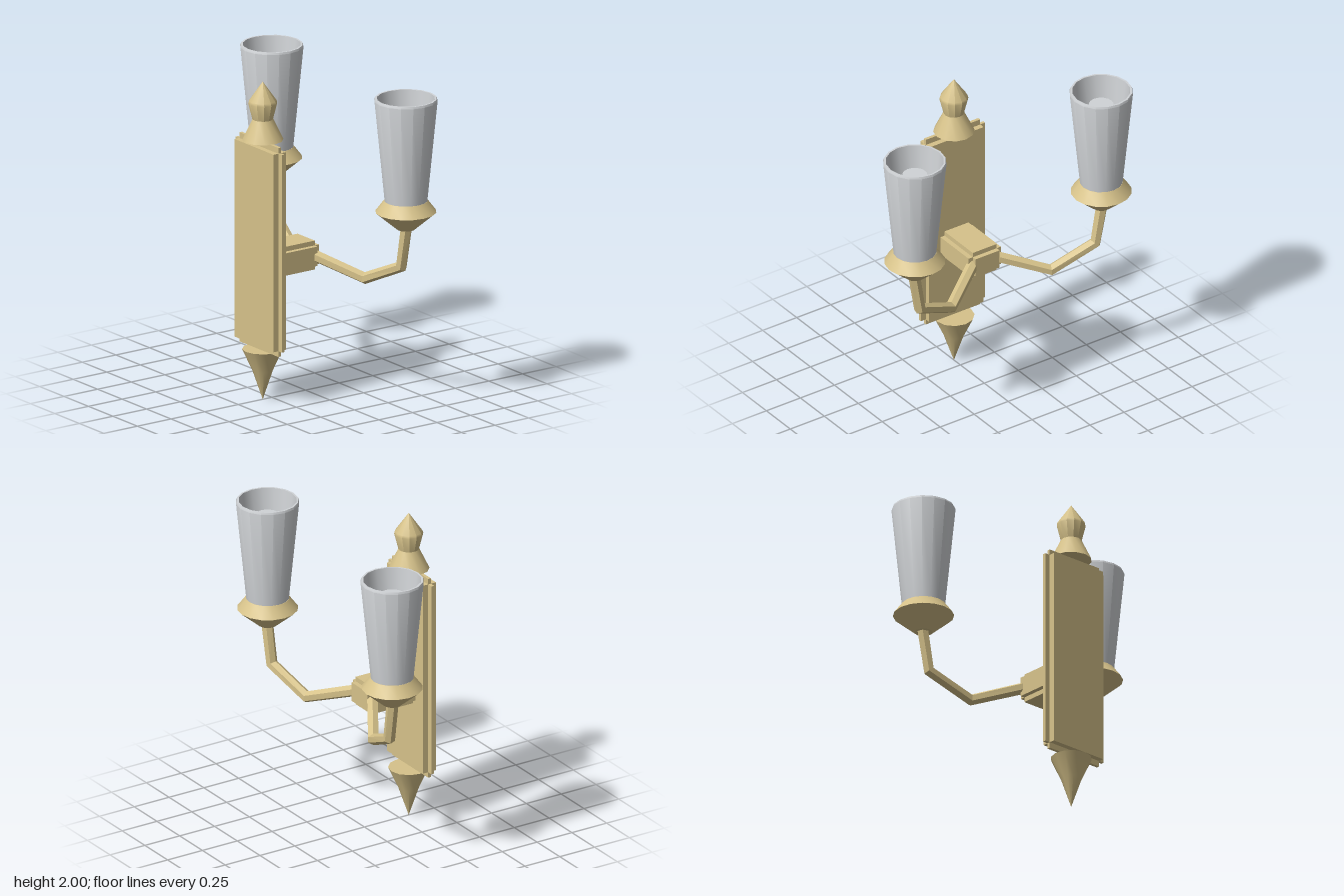
import * as THREE from 'three';
import { toCreasedNormals } from 'three/addons/utils/BufferGeometryUtils.js';

const brass = new THREE.MeshStandardMaterial({ color: 0xd6c28a });
brass.name = 'brass';
const glass = new THREE.MeshStandardMaterial({ color: 0xd0d3d6 });
glass.name = 'frosted glass';

function mesh(name, geometry, material) {
  const m = new THREE.Mesh(geometry, material);
  m.name = name;
  return m;
}

// Turned part from [radius, height] pairs, listed bottom to top on the outside
function turned(name, profile, material, sides = 16, crease = 0.5) {
  const points = profile.map(([r, y]) => new THREE.Vector2(r, y));
  return mesh(name, toCreasedNormals(new THREE.LatheGeometry(points, sides), crease), material);
}

// Box whose six faces are pushed out by a step, leaving notched edges
function steppedBox(name, min, max, step) {
  const group = new THREE.Group();
  group.name = name;
  for (let axis = 0; axis < 3; axis++) {
    const size = max.map((v, i) => v - min[i] + (i === axis ? 2 * step : 0));
    const box = mesh(name + 'Slab', new THREE.BoxGeometry(...size), brass);
    box.position.set(...max.map((v, i) => (v + min[i]) / 2));
    group.add(box);
  }
  return group;
}

// Polyline whose tangents bisect the bends, so a tube gets mitred joints
class BentPath extends THREE.Curve {
  constructor(points) {
    super();
    this.points = points.map((p) => new THREE.Vector3(...p));
  }
  index(u) {
    return Math.round(u * (this.points.length - 1));
  }
  getPointAt(u, target = new THREE.Vector3()) {
    return target.copy(this.points[this.index(u)]);
  }
  getTangentAt(u, target = new THREE.Vector3()) {
    const p = this.points, i = this.index(u);
    target.set(0, 0, 0);
    if (i > 0) target.add(p[i].clone().sub(p[i - 1]).normalize());
    if (i < p.length - 1) target.add(p[i + 1].clone().sub(p[i]).normalize());
    return target.normalize();
  }
}

export function createModel() {
  const model = new THREE.Group();
  model.name = 'wallLamp';

  // Wall plate and the block that carries the arms
  model.add(steppedBox('wallPlate', [-0.2, 0.357, 0.327], [0.2, 1.6, 0.347], 0.036));
  model.add(steppedBox('armBlock', [-0.088, 0.81, -0.005], [0.088, 0.932, 0.3], 0.03));

  // Finials above and below the plate
  const top = turned('topFinial', [
    [0, 1.635], [0.125, 1.635], [0.063, 1.765], [0.088, 1.865], [0.084, 1.88], [0, 2],
  ], brass, 12);
  const bottom = turned('bottomFinial', [
    [0, 0], [0.063, 0.185], [0.125, 0.32], [0, 0.32],
  ], brass, 12);
  top.position.z = bottom.position.z = 0.318;
  model.add(top, bottom);

  for (const side of [1, -1]) {
    const name = side > 0 ? 'left' : 'right';

    // Hexagonal bent arm
    const path = new BentPath([
      [side * 0.08, 0.875, 0.005], [side * 0.367, 0.765, -0.175],
      [side * 0.645, 0.895, -0.243], [side * 0.69, 1.15, -0.248],
    ]);
    const tube = new THREE.TubeGeometry(path, 3, 0.037, 6, false).toNonIndexed();
    tube.computeVertexNormals();
    model.add(mesh(name + 'Arm', tube, brass));

    // Cup, open shade and the lamp inside it
    const light = new THREE.Group();
    light.name = name + 'Light';
    light.position.set(side * 0.685, 0, -0.248);
    light.add(turned('cup', [
      [0, 1.14], [0.055, 1.14], [0.185, 1.25], [0.132, 1.32], [0, 1.32],
    ], brass));
    light.add(turned('shade', [
      [0.13, 1.315], [0.193, 1.95], [0.188, 1.963], [0.176, 1.963], [0.115, 1.322],
    ], glass));
    light.add(turned('lamp', [
      [0.082, 1.315], [0.076, 1.865], [0, 1.865],
    ], glass));
    model.add(light);
  }
  return model;
}
